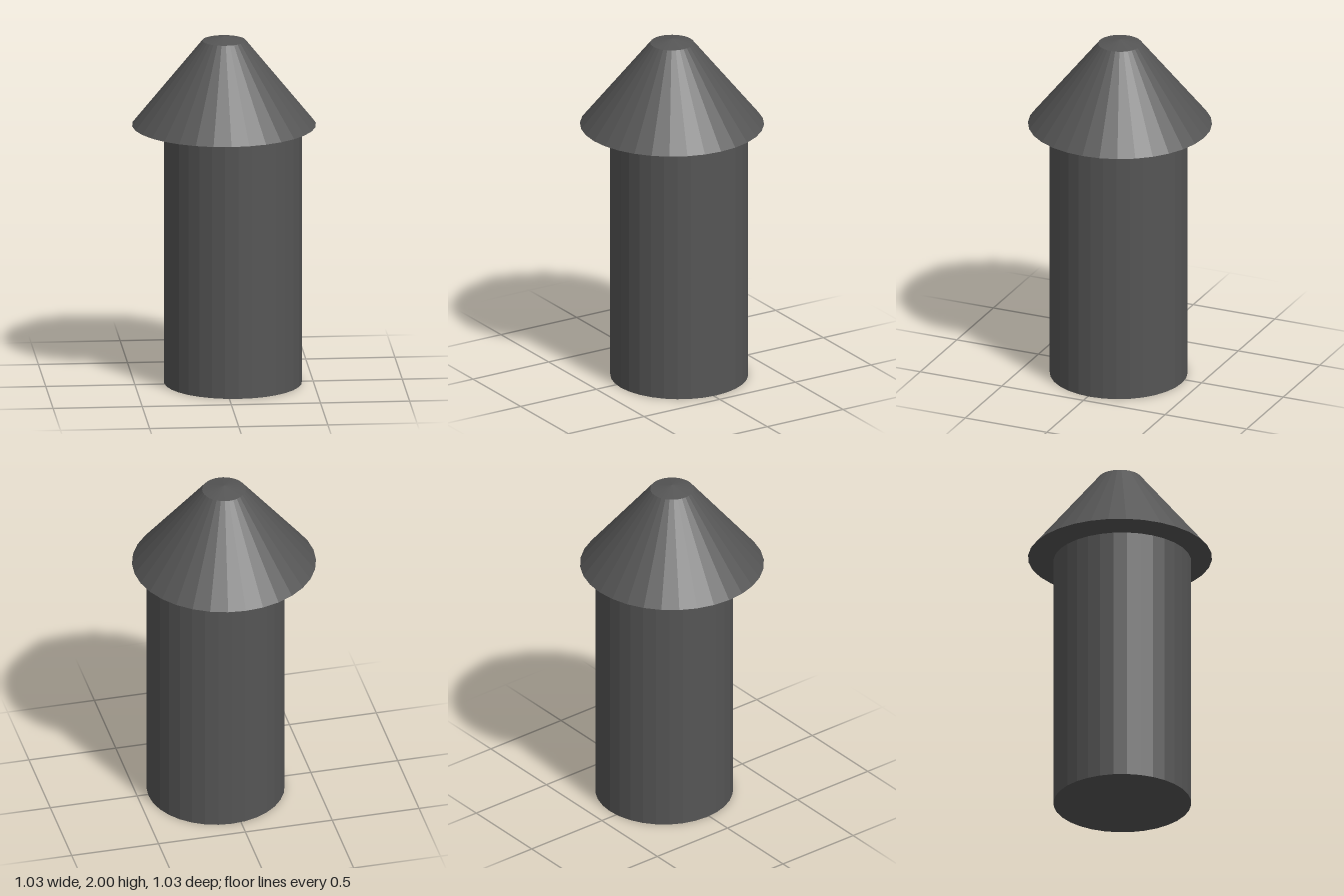
import * as THREE from 'three';

const SIDES = 32;

export function createModel() {
  const model = new THREE.Group();
  const material = new THREE.MeshStandardMaterial({ color: 0x555555, flatShading: true });

  const addPart = (name, geometry, x, y, z) => {
    const mesh = new THREE.Mesh(geometry, material);
    mesh.name = name;
    mesh.position.set(x, y, z);
    model.add(mesh);
  };

  // Upright body, slightly off the roof's axis
  const eaves = 1.49;
  addPart('body', new THREE.CylinderGeometry(0.386, 0.386, eaves, SIDES), 0.052, eaves / 2, -0.015);

  // Overhanging roof: closed underside, steep cone and shallow pointed cap
  const profile = [[0, 0], [0.515, 0], [0.122, 0.485], [0, 0.51]];
  const roof = new THREE.LatheGeometry(profile.map(([r, y]) => new THREE.Vector2(r, y)), SIDES);
  addPart('roof', roof, 0, eaves, 0);

  return model;
}
